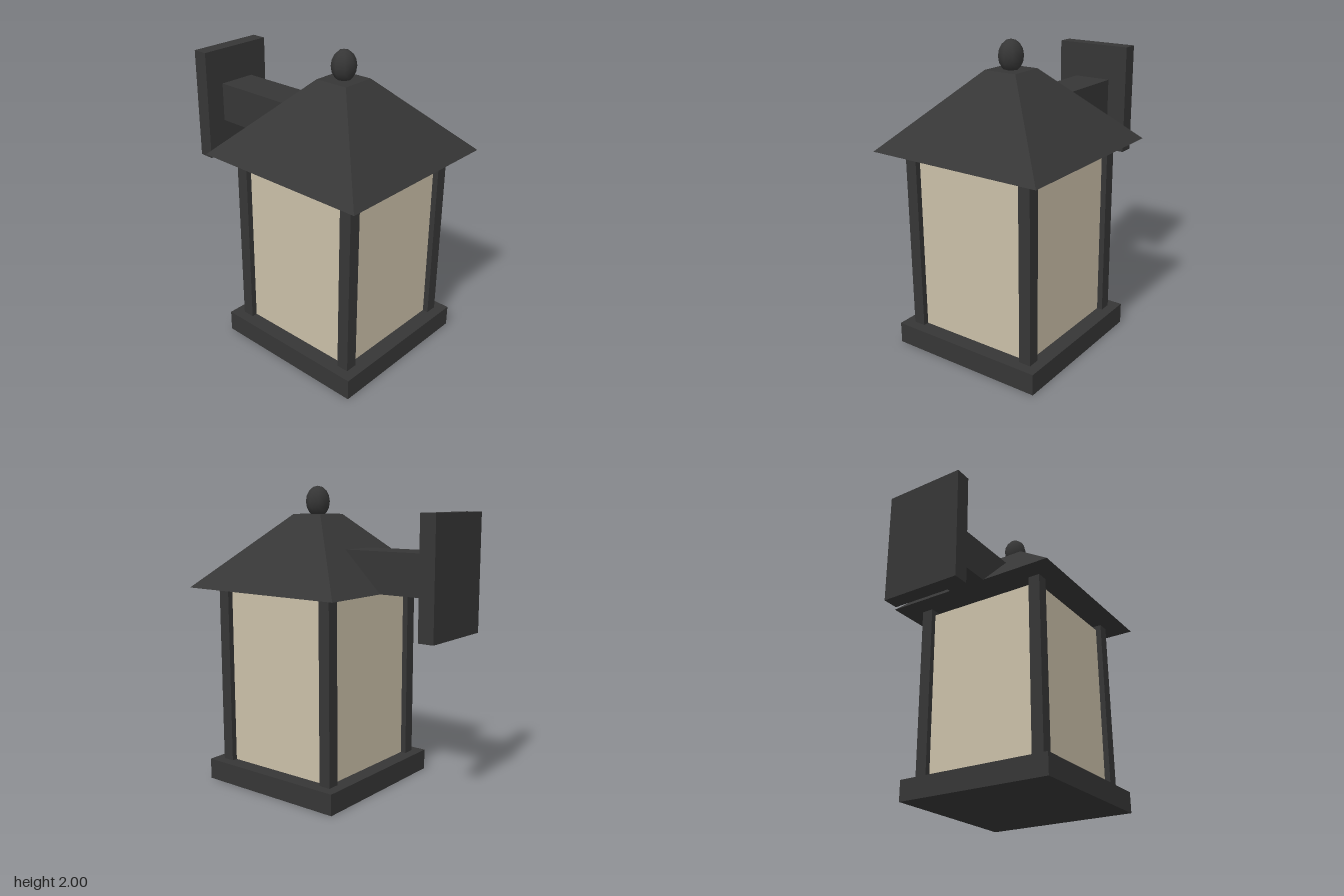
import * as THREE from 'three';

const metal = new THREE.MeshStandardMaterial({ color: 0x363636 });
metal.name = 'dark metal';
const glass = new THREE.MeshStandardMaterial({ color: 0xcabfa8 });
glass.name = 'cream glass';

function add(parent, name, geometry, material, x, y, z) {
  const mesh = new THREE.Mesh(geometry, material);
  mesh.name = name;
  mesh.position.set(x, y, z);
  parent.add(mesh);
  return mesh;
}

// Box given by its width, depth, and bottom and top heights
function block(parent, name, material, width, depth, y0, y1, x, z) {
  return add(parent, name, new THREE.BoxGeometry(width, y1 - y0, depth), material, x, (y0 + y1) / 2, z);
}

export function createModel() {
  const model = new THREE.Group();
  model.name = 'wallLantern';

  // Lantern body, standing forward of the wall
  const lantern = new THREE.Group();
  lantern.name = 'lantern';
  lantern.position.z = 0.235;
  model.add(lantern);

  block(lantern, 'base', metal, 1.07, 1.07, 0, 0.14, 0, 0);
  block(lantern, 'glassShade', glass, 0.86, 0.86, 0.13, 1.305, 0, 0);
  for (const sx of [-1, 1]) {
    for (const sz of [-1, 1]) {
      block(lantern, 'cornerPost', metal, 0.08, 0.08, 0.13, 1.34, sx * 0.428, sz * 0.428);
    }
  }

  // Truncated pyramid roof with hard edges
  const roof = new THREE.CylinderGeometry(0.115 * Math.SQRT2, 0.605 * Math.SQRT2, 0.48, 4)
    .rotateY(Math.PI / 4).toNonIndexed();
  roof.computeVertexNormals();
  add(lantern, 'roof', roof, metal, 0, 1.575, 0);

  // Egg-shaped finial
  const finial = new THREE.SphereGeometry(0.08, 8, 8).scale(1, 1.28, 1);
  add(lantern, 'finial', finial, metal, 0, 1.897, 0);

  // Slanted tube from the arm into the shade
  const tube = add(model, 'lampTube', new THREE.CylinderGeometry(0.06, 0.06, 0.34, 8), metal, 0, 1.32, 0.115);
  tube.rotation.x = -0.85;

  // Wall bracket
  block(model, 'arm', metal, 0.265, 0.75, 1.335, 1.6, 0, -0.375);
  block(model, 'wallPlate', metal, 0.535, 0.105, 1.09, 1.84, 0, -0.7875);

  return model;
}
